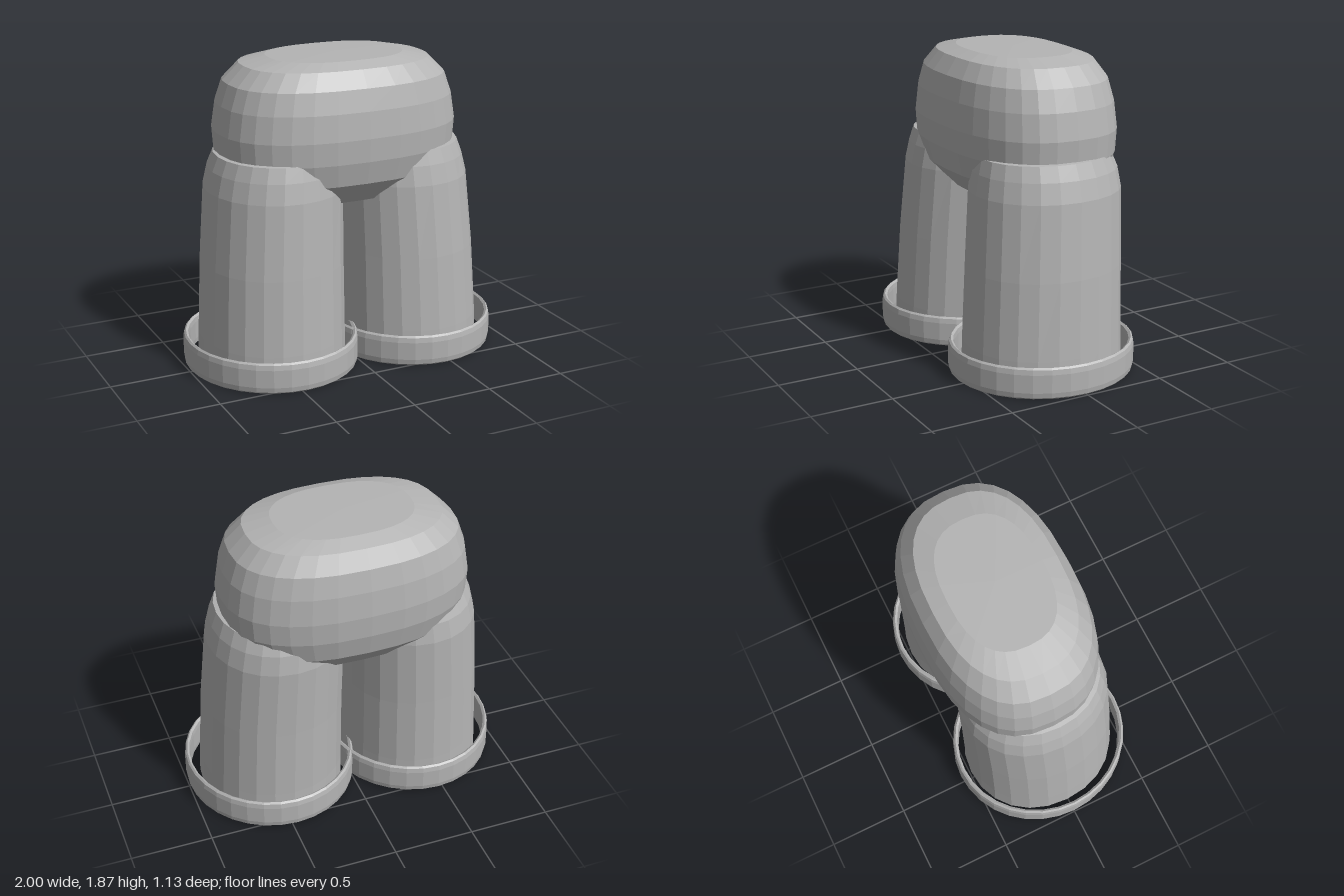
import * as THREE from 'three';

const cloth = new THREE.MeshStandardMaterial({ color: 0xb4b4b4, flatShading: true, side: THREE.DoubleSide });
cloth.name = 'grey cloth';

// Skins horizontal cross-sections [y, halfX, halfZ, centreX, centreZ], listed from the bottom up.
function loft(rows, sides, power, capBottom, capTop) {
  const pos = [], index = [];
  const bend = (v) => Math.sign(v) * Math.abs(v) ** (2 / power);
  for (const [y, hx, hz, cx, cz] of rows) {
    for (let i = 0; i < sides; i++) {
      const a = (i / sides) * Math.PI * 2;
      pos.push(cx + hx * bend(Math.sin(a)), y, cz + hz * bend(Math.cos(a)));
    }
  }
  for (let r = 0; r < rows.length - 1; r++) {
    for (let i = 0; i < sides; i++) {
      const j = (i + 1) % sides;
      const a = r * sides + i, b = r * sides + j;
      index.push(a, b, b + sides, a, b + sides, a + sides);
    }
  }
  const cap = (r, lift, up) => {
    const [y, , , cx, cz] = rows[r];
    const centre = pos.length / 3;
    pos.push(cx, y + lift, cz);
    for (let i = 0; i < sides; i++) {
      const a = r * sides + i, b = r * sides + (i + 1) % sides;
      if (up) index.push(a, b, centre);
      else index.push(b, a, centre);
    }
  };
  if (capBottom) cap(0, -0.005, false);
  if (capTop) cap(rows.length - 1, 0.005, true);
  const geo = new THREE.BufferGeometry();
  geo.setAttribute('position', new THREE.Float32BufferAttribute(pos, 3));
  geo.setIndex(index);
  geo.computeVertexNormals();
  return geo;
}

function part(name, geometry) {
  const mesh = new THREE.Mesh(geometry, cloth);
  mesh.name = name;
  return mesh;
}

export function createModel() {
  const model = new THREE.Group();
  model.name = 'shorts';

  // Rounded hip block with a softly domed top
  model.add(part('hips', loft([
    [1.02, 0.55, 0.33, 0, -0.07],
    [1.16, 0.69, 0.455, 0, -0.07],
    [1.30, 0.745, 0.488, 0, -0.07],
    [1.44, 0.755, 0.495, 0, -0.07],
    [1.60, 0.73, 0.48, 0, -0.07],
    [1.73, 0.685, 0.45, 0, -0.07],
    [1.83, 0.585, 0.385, 0, -0.07],
    [1.865, 0.42, 0.29, 0, -0.07],
  ], 32, 2.5, true, true)));

  for (const side of [-1, 1]) {
    const name = side > 0 ? 'left' : 'right';

    // Open-ended, tapering leg whose rounded top sinks into the hips
    model.add(part(name + 'Leg', loft([
      [0.01, 0.445, 0.485, 0.463 * side, -0.005],
      [0.19, 0.44, 0.48, 0.46 * side, -0.007],
      [0.65, 0.427, 0.468, 0.447 * side, -0.022],
      [1.10, 0.41, 0.455, 0.424 * side, -0.043],
      [1.22, 0.39, 0.435, 0.415 * side, -0.045],
      [1.31, 0.365, 0.405, 0.405 * side, -0.04],
      [1.32, 0.30, 0.33, 0.40 * side, -0.04],
    ], 24, 2.1, false, true)));

    // Loose hoop around the hem
    const profile = [[0.97, 0], [0.99, 0.01], [1, 0.04], [1, 0.15], [0.99, 0.18],
      [0.97, 0.19], [0.945, 0.18], [0.94, 0.15], [0.94, 0.04], [0.945, 0.01], [0.97, 0]];
    const hoop = part(name + 'HemHoop',
      new THREE.LatheGeometry(profile.map(([r, y]) => new THREE.Vector2(r, y)), 32));
    hoop.scale.set(0.532, 1, 0.566);
    hoop.position.x = 0.468 * side;
    model.add(hoop);
  }
  return model;
}
